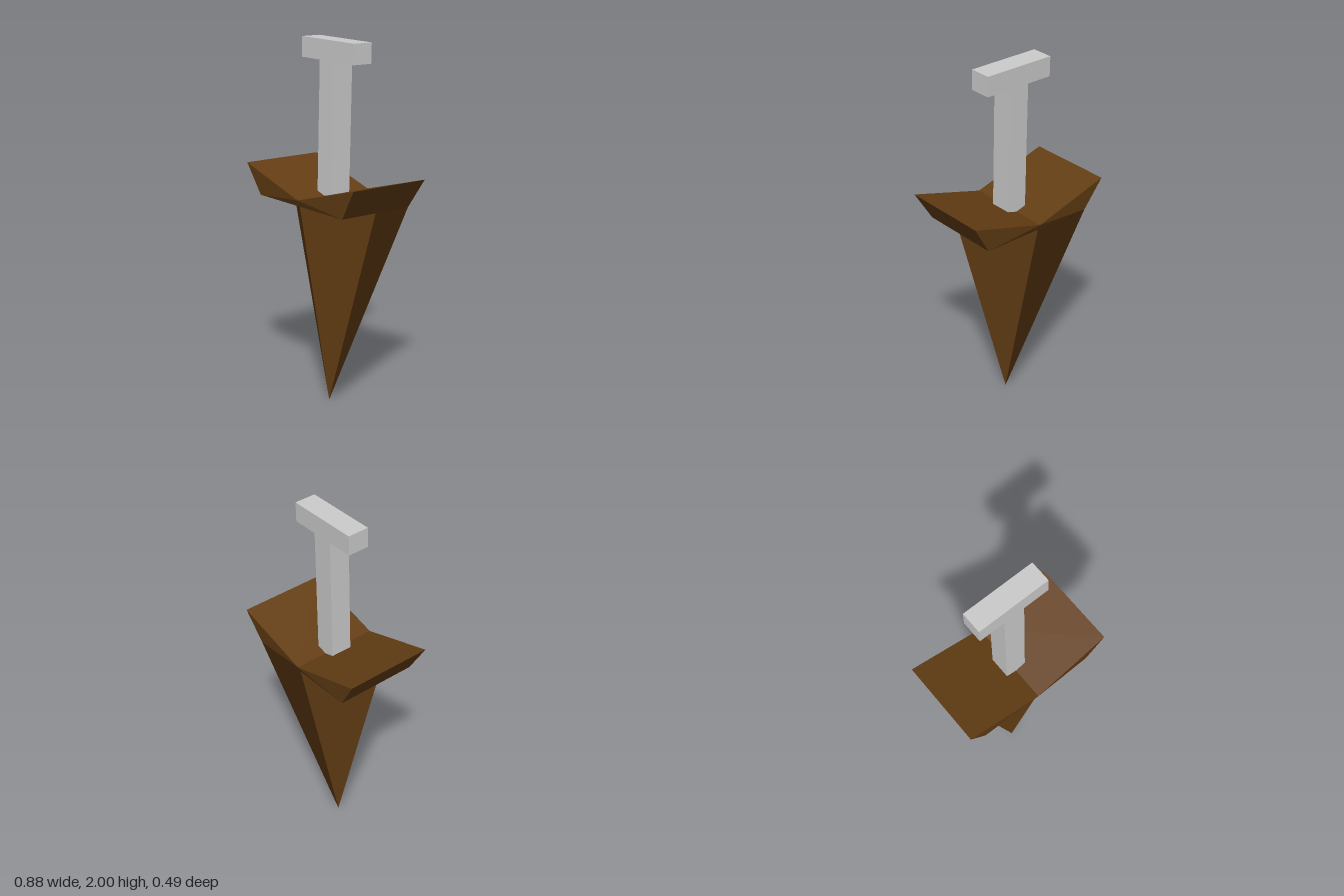
import * as THREE from 'three';

const brown = new THREE.MeshStandardMaterial({ color: 0x643e14 });
const grey = new THREE.MeshStandardMaterial({ color: 0xcccccc });

const BASE = 1.137; // height where blade and guard meet
const HALF_W = 0.34;
const HALF_D = 0.228;

function part(name, geometry, material) {
  const mesh = new THREE.Mesh(geometry, material);
  mesh.name = name;
  return mesh;
}

// Box given by its width, depth and lower and upper heights
function post(width, depth, y0, y1) {
  return new THREE.BoxGeometry(width, y1 - y0, depth).translate(0, (y0 + y1) / 2, 0);
}

// Blade fanning out from the tip: pointed outline in front, square corners behind
function bladeGeometry() {
  const outline = [[1, 0], [1, -1], [0, -1], [-1, -1], [-1, 0], [0, 1]];
  const ring = outline.map(([x, z]) => new THREE.Vector3(x * HALF_W, BASE, z * HALF_D));
  const positions = [];
  ring.forEach((a, i) => {
    const b = ring[(i + 1) % ring.length];
    positions.push(0, 0, 0, ...b.toArray(), ...a.toArray());
  });
  const geometry = new THREE.BufferGeometry();
  geometry.setAttribute('position', new THREE.Float32BufferAttribute(positions, 3));
  // Normals shared across each quarter, so only the four main ridges are sharp
  const normals = outline.flatMap(([x, z], i) => {
    const [x2, z2] = outline[(i + 1) % outline.length];
    const n = new THREE.Vector3(
      Math.sign(x + x2) / HALF_W, -1 / BASE, Math.sign(z + z2) / HALF_D,
    ).normalize().toArray();
    return [...n, ...n, ...n];
  });
  geometry.setAttribute('normal', new THREE.Float32BufferAttribute(normals, 3));
  return geometry;
}

// Winged guard with a V-shaped top, slightly narrower in depth at the bottom
function guardGeometry(halfDepth) {
  const profile = new THREE.Shape([
    [-HALF_W, BASE], [HALF_W, BASE], [0.441, 1.302], [0, 1.173], [-0.441, 1.302],
  ].map(([x, y]) => new THREE.Vector2(x, y)));
  const geometry = new THREE.ExtrudeGeometry(profile, { depth: 2 * halfDepth, bevelEnabled: false });
  geometry.translate(0, 0, -halfDepth);
  const p = geometry.attributes.position;
  for (let i = 0; i < p.count; i++) {
    if (p.getY(i) < BASE + 0.01) p.setZ(i, Math.sign(p.getZ(i)) * HALF_D);
  }
  geometry.computeVertexNormals();
  return geometry;
}

export function createModel() {
  const model = new THREE.Group();
  model.name = 'dagger';

  // The whole dagger leans back a little from its tip
  const dagger = new THREE.Group();
  dagger.name = 'leaningDagger';
  dagger.rotation.x = -0.0255;
  dagger.position.z = 0.032;
  model.add(dagger);

  dagger.add(
    part('blade', bladeGeometry(), brown),
    part('guard', guardGeometry(0.245), brown),
    part('grip', post(0.12, 0.12, BASE + 0.01, 1.89), grey),
    part('pommelBar', post(0.416, 0.12, 1.89, 1.999), grey),
  );
  return model;
}
